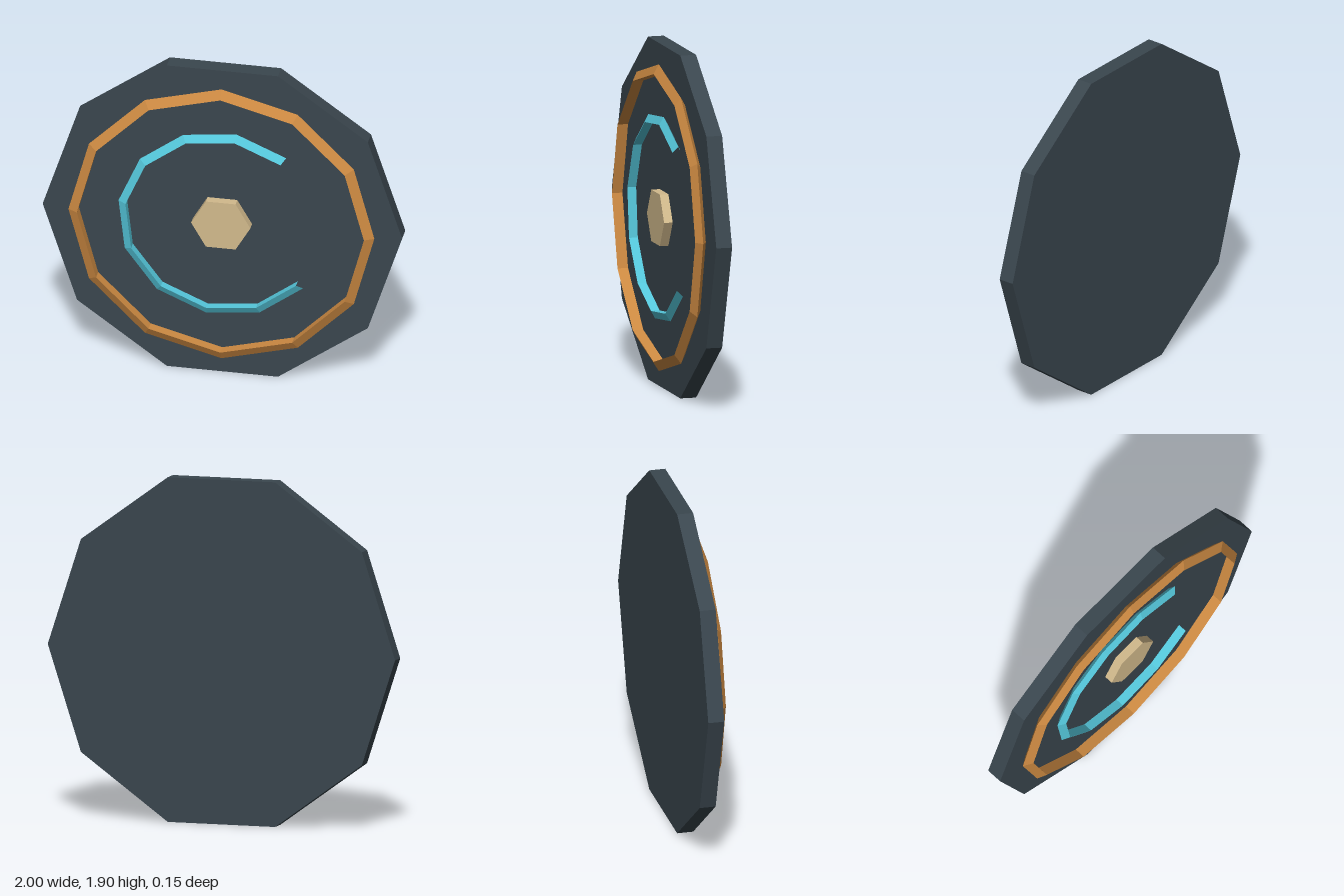
import * as THREE from 'three';

const CENTER_Y = Math.sin(Math.PI * 0.4); // decagon of radius 1 resting on a flat edge

function material(name, color) {
  const m = new THREE.MeshStandardMaterial({ color, flatShading: true });
  m.name = name;
  return m;
}

// Polygonal plate facing +z, spanning back..front, with corners on the x axis
function plate(name, radius, sides, back, front, mat) {
  const geo = new THREE.CylinderGeometry(radius, radius, front - back, sides, 1, false, Math.PI / 2);
  geo.rotateX(Math.PI / 2);
  const mesh = new THREE.Mesh(geo, mat);
  mesh.name = name;
  mesh.position.set(0, CENTER_Y, (back + front) / 2);
  return mesh;
}

// Ring with a triangular section, its ridge pointing outward
function ridgeRing(name, radius, tube, segments, arc, start, z, mat) {
  const mesh = new THREE.Mesh(new THREE.TorusGeometry(radius, tube, 3, segments, arc), mat);
  mesh.name = name;
  mesh.rotation.z = start;
  mesh.position.set(0, CENTER_Y, z);
  return mesh;
}

export function createModel() {
  const slate = material('slate', 0x3a464e);
  const bronze = material('bronze', 0xcd8a42);
  const cyan = material('cyan', 0x55c8dc);
  const sand = material('sand', 0xd2ba8c);

  const group = new THREE.Group();
  group.name = 'roundPanel';
  group.add(
    plate('baseDisc', 1, 10, -0.075, 0.015, slate),
    ridgeRing('outerRing', 0.816, 0.035, 12, Math.PI * 2, 0, 0.045, bronze),
    ridgeRing('innerArc', 0.55, 0.029, 9, Math.PI * 1.5, 0.9, 0.042, cyan),
    plate('hub', 0.165, 6, 0.0, 0.064, sand)
  );
  return group;
}
